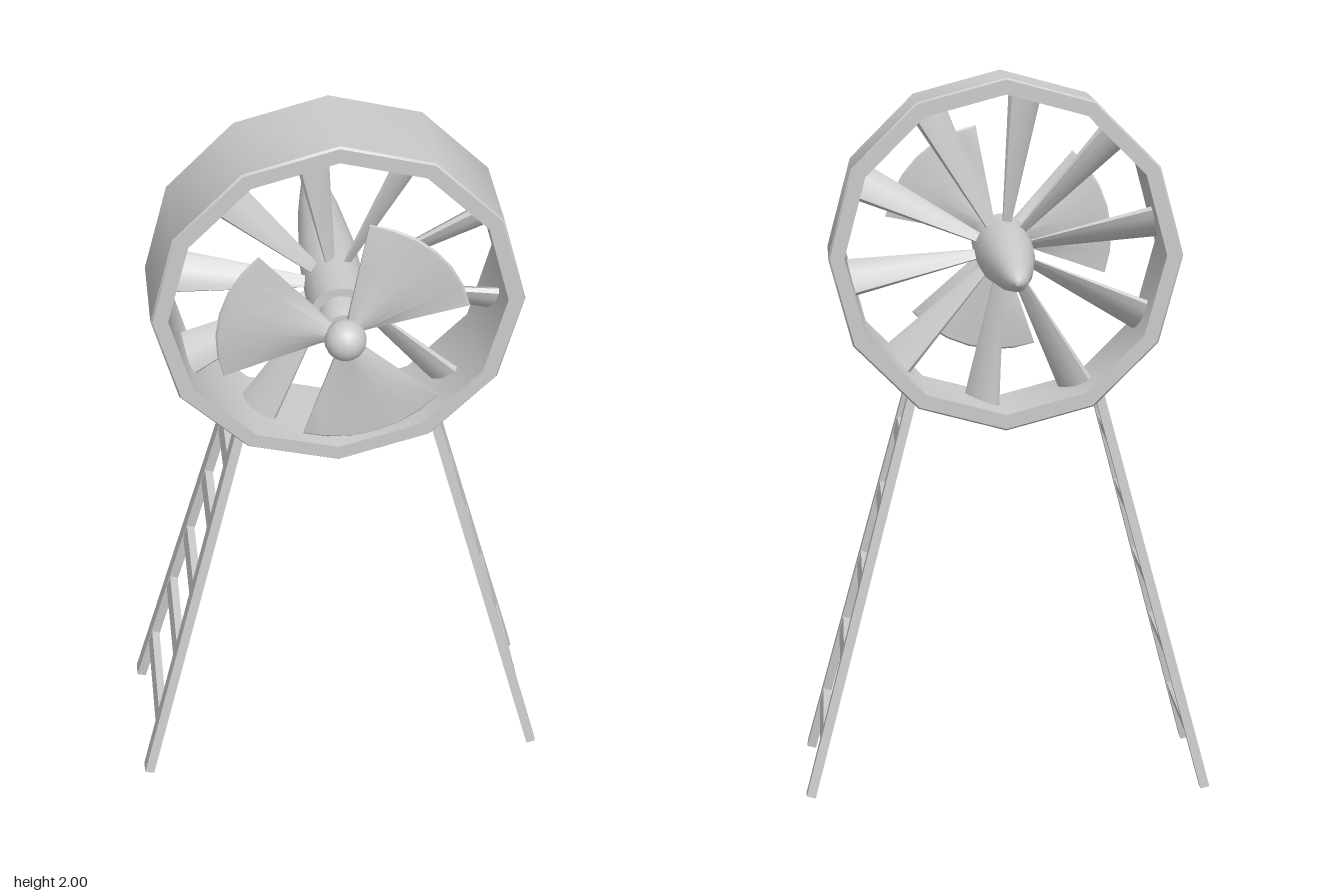
import * as THREE from 'three';
import { toCreasedNormals } from 'three/addons/utils/BufferGeometryUtils.js';

const material = new THREE.MeshStandardMaterial({ color: 0xcccccc });
const HUB_Y = 1.515;

function addMesh(parent, name, geometry) {
  const mesh = new THREE.Mesh(geometry, material);
  mesh.name = name;
  parent.add(mesh);
  return mesh;
}

// Profile of [radius, z] pairs turned around the z axis
function turned(profile, segments) {
  const points = profile.map(([r, z]) => new THREE.Vector2(r, z));
  const geometry = new THREE.LatheGeometry(points, segments).rotateX(Math.PI / 2);
  return toCreasedNormals(geometry, 0.65);
}

// Fan-shaped blade along +x: thick at the root, thin at the rim and side edges
function propellerBlade() {
  const half = THREE.MathUtils.degToRad(34), steps = 6, count = 2 * (steps + 1);
  const stations = [[0.02, 0.028], [0.07, 0.022], [0.2, 0.013], [0.322, 0.006], [0.327, 0]];
  const positions = [], index = [];
  stations.forEach(([r, thickness], i) => {
    for (let j = 0; j < count; j++) {
      const front = j <= steps;
      const t = front ? 1 - (2 * j) / steps : -1 + (2 * (j - steps - 1)) / steps;
      const z = thickness * (1 - 0.75 * t * t) * (front ? 1 : -1);
      positions.push(r * Math.cos(t * half), r * Math.sin(t * half), z);
      if (i === 0) continue;
      const k = (j + 1) % count, a = (i - 1) * count, b = i * count;
      index.push(a + j, a + k, b + j, a + k, b + k, b + j);
    }
  });
  const geometry = new THREE.BufferGeometry();
  geometry.setAttribute('position', new THREE.Float32BufferAttribute(positions, 3));
  geometry.setIndex(index);
  return toCreasedNormals(geometry, 0.5);
}

// Ladder-like leg; side is +1 for left, -1 for right
function ladderLeg(side) {
  const leg = new THREE.Group();
  leg.name = side > 0 ? 'leftLeg' : 'rightLeg';
  const length = 1.155, footHalf = 0.21, topHalf = 0.093;
  const lean = Math.atan2(footHalf - topHalf, length);
  for (const end of [1, -1]) {
    const rail = addMesh(leg, end > 0 ? 'frontRail' : 'backRail',
      new THREE.BoxGeometry(0.026, length, 0.042));
    rail.position.set(0, length / 2, end * (footHalf + topHalf) / 2);
    rail.rotation.x = -end * lean;
  }
  for (const y of [0.17, 0.405, 0.615, 0.835, 1.035]) {
    const width = 2 * (footHalf - (footHalf - topHalf) * y / length);
    addMesh(leg, 'rung', new THREE.BoxGeometry(0.022, 0.045, width)).position.y = y;
  }
  leg.position.set(side * 0.557, 0.005, 0.113);
  leg.rotation.z = side * Math.atan2(0.295, 1.11);
  return leg;
}

export function createModel() {
  const model = new THREE.Group();
  model.name = 'fanOnLadderLegs';

  const fan = new THREE.Group();
  fan.name = 'fan';
  fan.position.y = HUB_Y;
  model.add(fan);

  // Twelve-sided duct
  addMesh(fan, 'ductRing', turned([
    [0.44, -0.01], [0.48, -0.01], [0.485, -0.004], [0.485, 0.25],
    [0.48, 0.256], [0.44, 0.256], [0.44, -0.01],
  ], 12));

  // Centre body with pointed tail, collar and shaft
  addMesh(fan, 'tailBody', turned([
    [0, -0.441], [0.008, -0.438], [0.027, -0.41], [0.042, -0.32], [0.056, -0.23],
    [0.068, -0.11], [0.078, -0.01], [0.08, 0.1], [0.08, 0.272], [0, 0.272],
  ], 16));
  addMesh(fan, 'shaft', turned([[0.057, 0.26], [0.057, 0.325], [0.048, 0.345], [0, 0.345]], 16));
  addMesh(fan, 'noseBall', new THREE.SphereGeometry(0.054, 16, 12)).position.z = 0.386;

  // Fixed, pitched vanes between the centre body and the duct
  for (let i = 0; i < 10; i++) {
    const vane = new THREE.Group();
    vane.name = 'vane';
    vane.rotation.z = THREE.MathUtils.degToRad(8 + i * 36);
    vane.position.z = 0.13;
    const geometry = new THREE.CylinderGeometry(0.06, 0.014, 0.38, 10)
      .scale(1, 1, 0.38).rotateY(Math.PI / 4.5).translate(0, 0.245, 0);
    addMesh(vane, 'vaneBlade', toCreasedNormals(geometry, 0.9));
    fan.add(vane);
  }

  // Three-bladed propeller
  const blade = propellerBlade();
  for (let i = 0; i < 3; i++) {
    const mesh = addMesh(fan, 'propellerBlade', blade);
    mesh.rotation.z = THREE.MathUtils.degToRad(45 + i * 120);
    mesh.position.z = 0.357;
  }

  model.add(ladderLeg(1), ladderLeg(-1));
  return model;
}
